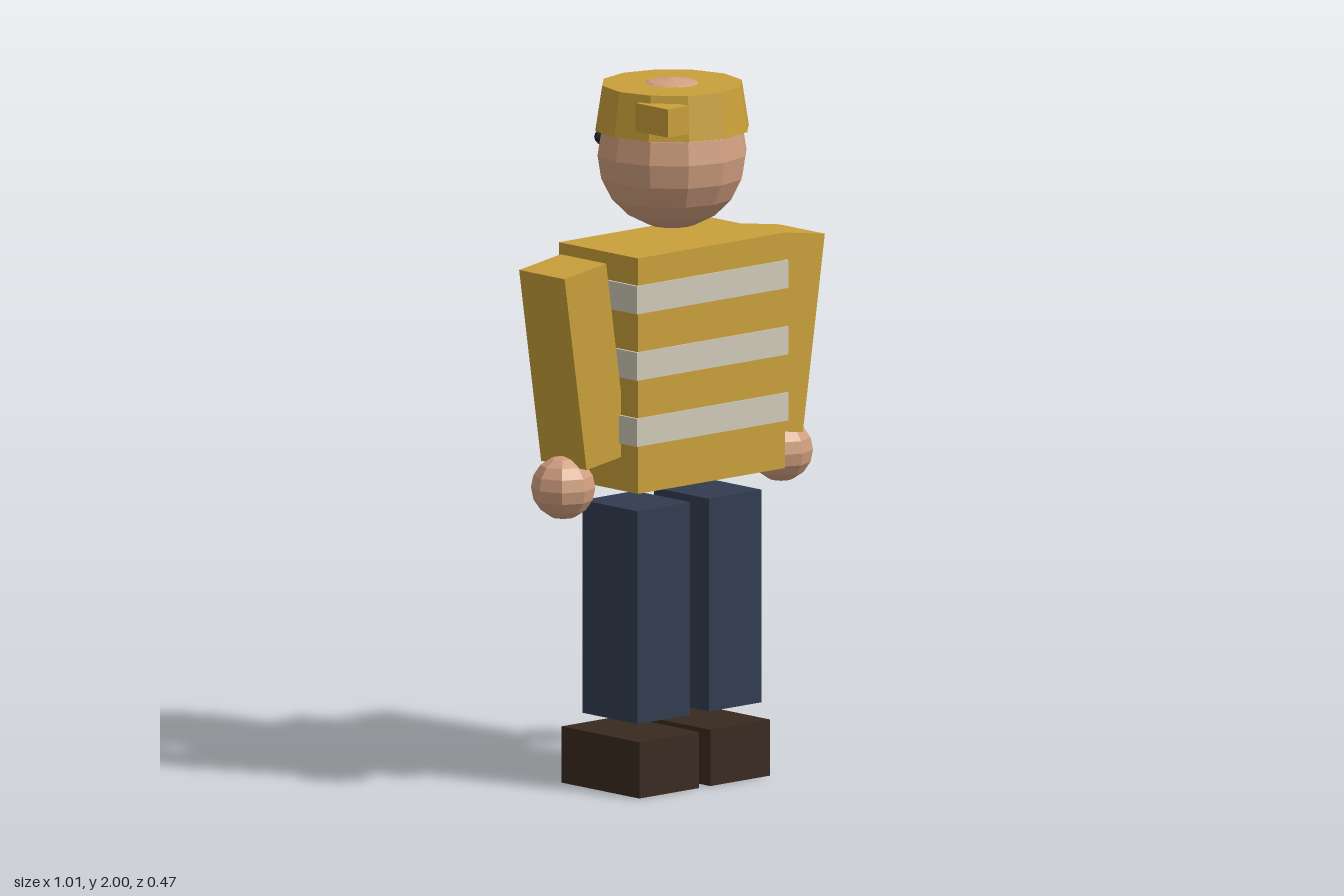
import * as THREE from 'three';

const paint = (color) => new THREE.MeshStandardMaterial({ color, flatShading: true });

export function createModel() {
  const model = new THREE.Group();
  const yellow = paint(0xc9a03a), skin = paint(0xd2a080), denim = paint(0x323c50);
  const leather = paint(0x3a2a20), silver = paint(0xcfc9b8), black = paint(0x20242a);
  const Z = 0.013; // shared centre plane of the body

  const add = (name, geometry, material, x, y, z) => {
    const mesh = new THREE.Mesh(geometry, material);
    mesh.name = name;
    mesh.position.set(x, y, z);
    model.add(mesh);
    return mesh;
  };
  const box = (w, h, d) => new THREE.BoxGeometry(w, h, d);
  const ball = (r, ws, hs) => new THREE.SphereGeometry(r, ws, hs);

  // Jacket with three reflective bands
  add('jacket', box(0.56, 0.67, 0.325), yellow, 0, 1.21, Z);
  for (const y of [1.05, 1.238, 1.427]) {
    add('reflectiveBand', box(0.576, 0.08, 0.334), silver, 0, y, Z);
  }

  // Paired limbs
  for (const [side, s] of [['left', 1], ['right', -1]]) {
    add(side + 'Arm', box(0.16, 0.56, 0.187), yellow, s * 0.374, 1.239, Z).rotation.z = -s * 0.15;
    add(side + 'Hand', ball(0.09, 8, 8), skin, s * 0.414, 0.888, Z);
    add(side + 'Leg', box(0.2, 0.605, 0.227), denim, s * 0.136, 0.51, Z);
    add(side + 'Shoe', box(0.226, 0.16, 0.32), leather, s * 0.135, 0.08, -0.013);
    add(side + 'Eye', ball(0.021, 6, 6), black, s * 0.081, 1.812, -0.19);
  }

  // Head, nose and hat; the face looks toward -z
  add('head', ball(0.2133, 12, 10), skin, 0, 1.787, Z);
  add('nose', box(0.04, 0.053, 0.04), skin, 0, 1.763, -0.215);
  add('hat', new THREE.CylinderGeometry(0.2, 0.22, 0.128, 12), yellow, 0, 1.921, Z);
  add('hatTab', box(0.08, 0.08, 0.133), yellow, -0.16, 1.923, 0.146);

  return model;
}
